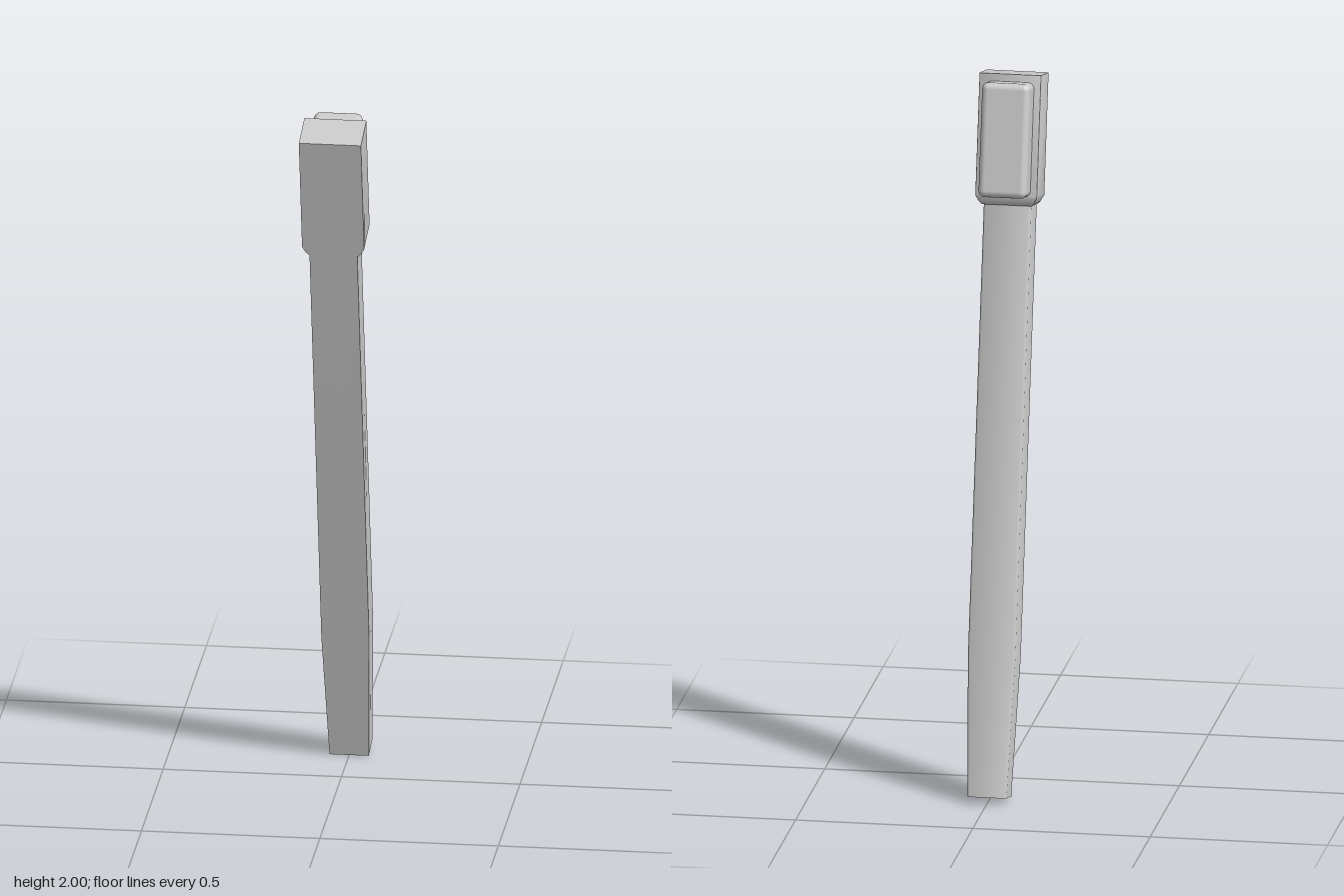
import * as THREE from 'three';
import { toCreasedNormals } from 'three/addons/utils/BufferGeometryUtils.js';
import { RoundedBoxGeometry } from 'three/addons/geometries/RoundedBoxGeometry.js';

const material = new THREE.MeshStandardMaterial({ color: 0xcccccc });

// Outline with a square front and rounded back corners: half width, front, back, radius
function outline(w, front, back, r, steps = 4) {
  const points = [[w, front]];
  for (const side of [0, 1]) {
    for (let i = 0; i <= steps; i++) {
      const a = (side + i / steps) * Math.PI / 2;
      points.push([(side ? -1 : 1) * (w - r) + r * Math.cos(a), back + r - r * Math.sin(a)]);
    }
  }
  points.push([-w, front]);
  return points;
}

// Closed skin through sections [height, halfWidth, front, back, radius], bottom to top
function loft(sections) {
  const rings = sections.map(([y, ...shape]) => outline(...shape).map(([x, z]) => [x, y, z]));
  const n = rings[0].length;
  const positions = rings.flat(2);
  const index = [];
  for (let s = 0; s < rings.length - 1; s++) {
    for (let i = 0; i < n; i++) {
      const a = s * n + i, b = s * n + (i + 1) % n;
      index.push(a, b, b + n, a, b + n, a + n);
    }
  }
  const top = (rings.length - 1) * n;
  for (let i = 1; i < n - 1; i++) {
    index.push(0, i + 1, i);
    index.push(top, top + i, top + i + 1);
  }
  const geometry = new THREE.BufferGeometry();
  geometry.setAttribute('position', new THREE.Float32BufferAttribute(positions, 3));
  geometry.setIndex(index);
  return toCreasedNormals(geometry, 0.6);
}

function addPart(parent, name, geometry) {
  const mesh = new THREE.Mesh(geometry, material);
  mesh.name = name;
  parent.add(mesh);
  return mesh;
}

export function createModel() {
  const model = new THREE.Group();
  model.name = 'leaningLeg';

  // Everything is built upright, then leaned forward about the foot
  const lean = new THREE.Group();
  lean.name = 'leaningAssembly';
  lean.position.set(0, 0.0104, -0.223);
  lean.rotation.x = THREE.MathUtils.degToRad(12.5);
  model.add(lean);

  // Straight shaft with a tapered foot
  addPart(lean, 'shaft', loft([
    [0, 0.055, 0.048, -0.048, 0.011],
    [0.39, 0.067, 0.053, -0.053, 0.012],
    [1.68, 0.067, 0.053, -0.053, 0.012],
  ]));

  // Head block, chamfered underneath at the sides and back
  addPart(lean, 'head', loft([
    [1.655, 0.07, 0.055, -0.058, 0.002],
    [1.662, 0.077, 0.055, -0.066, 0.002],
    [1.68, 0.087, 0.055, -0.075, 0.002],
    [2.022, 0.087, 0.055, -0.075, 0.002],
  ]));

  // Rounded pad on the back of the head
  const pad = addPart(lean, 'backPad', new RoundedBoxGeometry(0.136, 0.32, 0.12, 4, 0.018));
  pad.position.set(0, 1.841, -0.094);

  return model;
}
